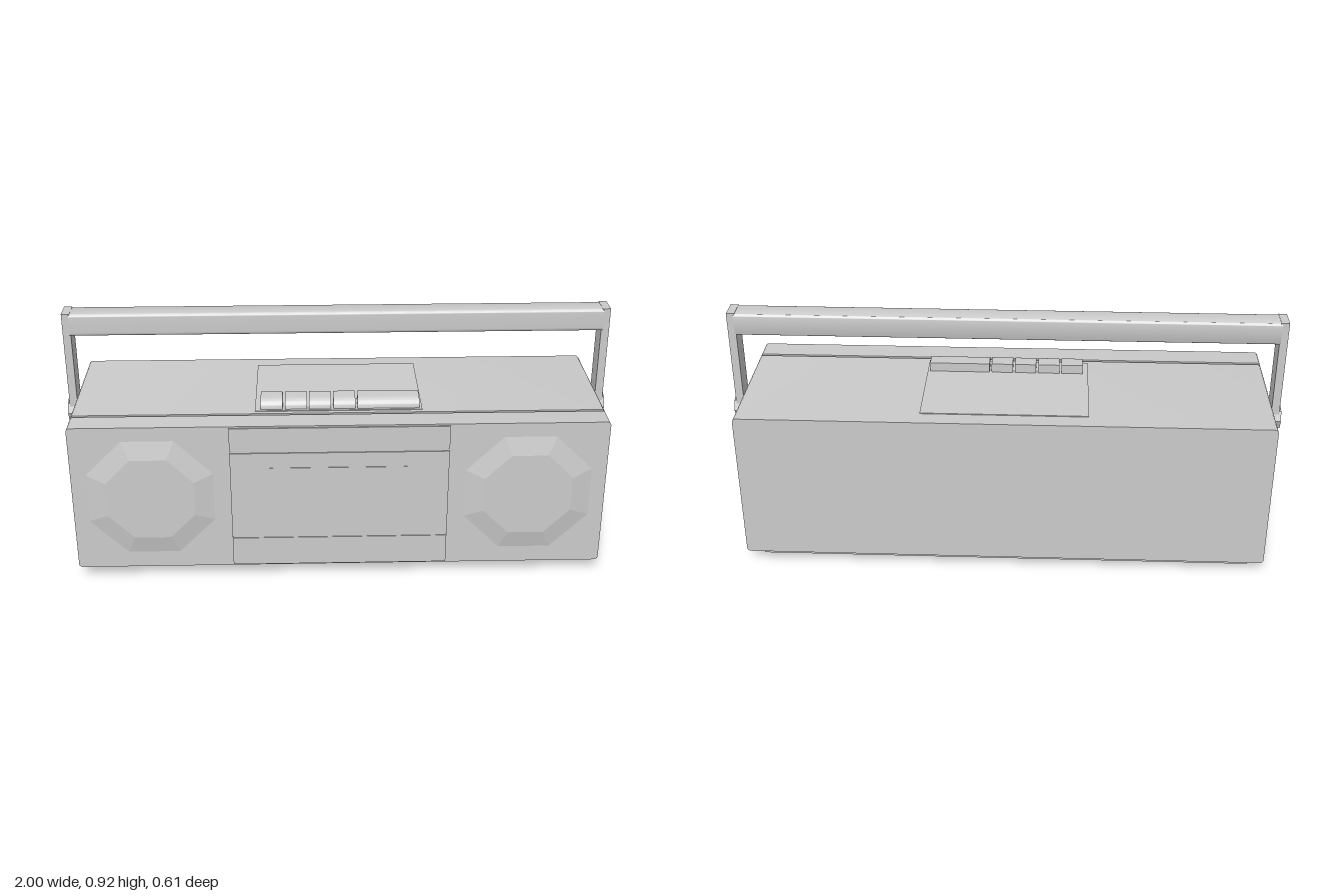
import * as THREE from 'three';
import { toCreasedNormals } from 'three/addons/utils/BufferGeometryUtils.js';

const smooth = new THREE.MeshStandardMaterial({ color: 0xcccccc });
const faceted = new THREE.MeshStandardMaterial({ color: 0xcccccc, flatShading: true });

export function createModel() {
  const model = new THREE.Group();

  const add = (name, geometry, material = smooth) => {
    const mesh = new THREE.Mesh(geometry, material);
    mesh.name = name;
    model.add(mesh);
    return mesh;
  };

  // Box given by its limits on each axis
  const box = (name, x0, x1, y0, y1, z0, z1) => {
    const mesh = add(name, new THREE.BoxGeometry(x1 - x0, y1 - y0, z1 - z0));
    mesh.position.set((x0 + x1) / 2, (y0 + y1) / 2, (z0 + z1) / 2);
    return mesh;
  };

  // Rectangle with its own radius at the top and bottom corners
  const roundedRect = (x0, x1, y0, y1, r) => {
    const s = new THREE.Shape();
    s.moveTo(x0 + r, y0);
    s.absarc(x1 - r, y0 + r, r, -Math.PI / 2, 0);
    s.absarc(x1 - r, y1 - r, r, 0, Math.PI / 2);
    s.absarc(x0 + r, y1 - r, r, Math.PI / 2, Math.PI);
    s.absarc(x0 + r, y0 + r, r, Math.PI, Math.PI * 1.5);
    return s;
  };

  const extrude = (shape, depth) => toCreasedNormals(
    new THREE.ExtrudeGeometry(shape, { depth, bevelEnabled: false, curveSegments: 5 }), 0.6);

  // Profile drawn in (-z, y), extruded along +x from x0 to x1
  const extrudeAlongX = (name, shape, x0, x1) => {
    const mesh = add(name, extrude(shape, x1 - x0));
    mesh.rotation.y = Math.PI / 2;
    mesh.position.x = x0;
    return mesh;
  };

  // Case: rear shell, recessed seam and front shell
  const shell = (name, inset, z0, z1) => {
    const shape = roundedRect(-0.957 + inset, 0.957 - inset, 0.045 + inset, 0.612 - inset, 0.014);
    add(name, extrude(shape, z1 - z0)).position.z = z0;
  };
  shell('rearShell', 0, -0.305, 0.187);
  shell('seam', 0.008, 0.18, 0.205);
  shell('frontShell', 0, 0.199, 0.29);

  // Base and thin top plate
  box('base', -0.907, 0.907, 0, 0.05, -0.25, 0.175);
  box('topPlate', -0.3, 0.3, 0.6, 0.615, -0.24, 0.17);

  // Centre panel with tuner strip, tape door and window
  box('centrePanel', -0.385, 0.385, 0.05, 0.606, 0.28, 0.292);
  box('lowerPanel', -0.39, 0.39, 0.05, 0.162, 0.28, 0.295);
  box('tunerStrip', -0.39, 0.39, 0.518, 0.606, 0.28, 0.295);
  box('tapeDoor', -0.39, 0.39, 0.167, 0.508, 0.28, 0.296);
  box('tapeWindow', -0.25, 0.24, 0.21, 0.45, 0.28, 0.298);

  // Keys with a rounded front upper edge
  const key = new THREE.Shape();
  key.moveTo(-0.16, 0.605);
  key.lineTo(-0.08, 0.605);
  key.lineTo(-0.08, 0.649);
  key.lineTo(-0.128, 0.649);
  key.absarc(-0.128, 0.617, 0.032, Math.PI / 2, Math.PI);
  key.closePath();
  for (let i = 0; i < 4; i++) {
    const x = -0.28 + i * 0.087;
    extrudeAlongX('key', key, x, x + 0.079);
  }
  extrudeAlongX('wideKey', key, 0.068, 0.29);

  // Handle grip
  extrudeAlongX('handleGrip', roundedRect(0.01, 0.095, 0.835, 0.919, 0.012), -0.968, 0.968);

  for (const side of [-1, 1]) {
    // Octagonal speaker domes with a flat centre
    const speaker = add('speaker',
      new THREE.CylinderGeometry(0.17, 0.249, 0.016, 8, 1, false, Math.PI / 8), faceted);
    speaker.rotation.x = Math.PI / 2;
    speaker.position.set(side * 0.677, 0.333, 0.297);

    // Handle arms and their octagonal pivots
    const arm = box('handleArm', -0.0145, 0.0145, 0.52, 0.92, -0.092, -0.014);
    arm.position.x = side * 0.978;
    const pivot = add('handlePivot', new THREE.CylinderGeometry(0.049, 0.049, 0.05, 8), faceted);
    pivot.rotation.z = Math.PI / 2;
    pivot.position.set(side * 0.975, 0.53, -0.053);
  }

  return model;
}
